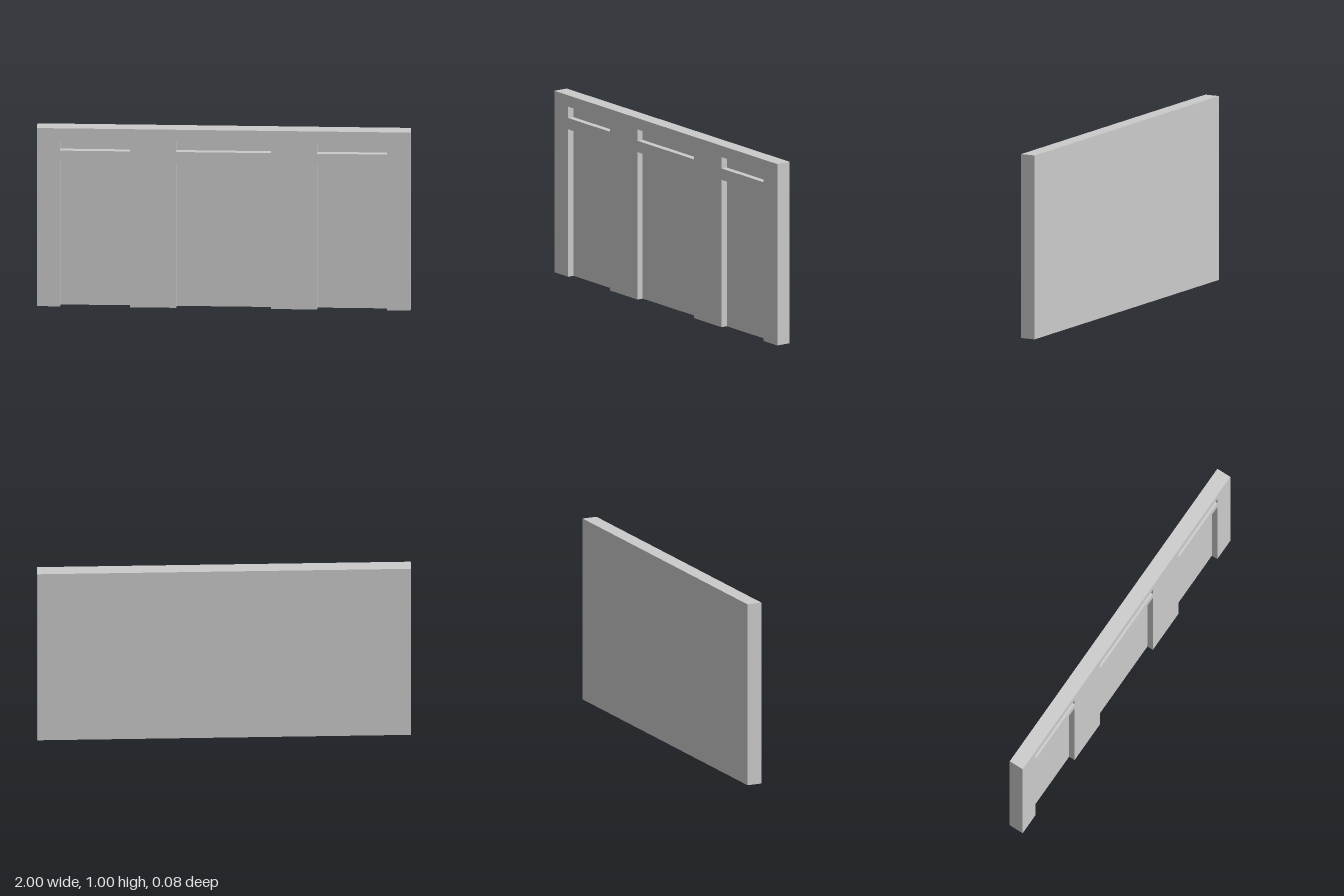
import * as THREE from 'three';

const T = 0.083;       // total thickness
const RECESS = 0.035;  // depth of the door and transom recesses
const DOOR_TOP = 0.8125, SLOT_BOTTOM = 0.875, SLOT_TOP = 0.9375;
// left and right edge of each bay
const BAYS = [[-0.875, -0.5], [-0.254, 0.254], [0.5, 0.875]];

export function createModel() {
  const group = new THREE.Group();
  const material = new THREE.MeshStandardMaterial({ color: 0xcccccc, flatShading: true });
  const add = (name, geometry, z) => {
    const mesh = new THREE.Mesh(geometry, material);
    mesh.name = name;
    mesh.position.z = z;
    group.add(mesh);
  };

  // plain slab forming the back and the floor of every recess
  const backing = new THREE.BoxGeometry(2, 1, T - RECESS);
  backing.translate(0, 0.5, 0);
  add('backWall', backing, -RECESS / 2);

  // front layer: doorways open at the ground, transom slots above them
  const face = new THREE.Shape();
  face.moveTo(-1, 0);
  for (const [l, r] of BAYS) {
    face.lineTo(l, 0);
    face.lineTo(l, DOOR_TOP);
    face.lineTo(r, DOOR_TOP);
    face.lineTo(r, 0);

    const slot = new THREE.Path();
    slot.moveTo(l, SLOT_BOTTOM);
    slot.lineTo(l, SLOT_TOP);
    slot.lineTo(r, SLOT_TOP);
    slot.lineTo(r, SLOT_BOTTOM);
    slot.closePath();
    face.holes.push(slot);
  }
  face.lineTo(1, 0);
  face.lineTo(1, 1);
  face.lineTo(-1, 1);
  face.closePath();
  add('frontFrame', new THREE.ExtrudeGeometry(face, { depth: RECESS, bevelEnabled: false }), T / 2 - RECESS);

  return group;
}
